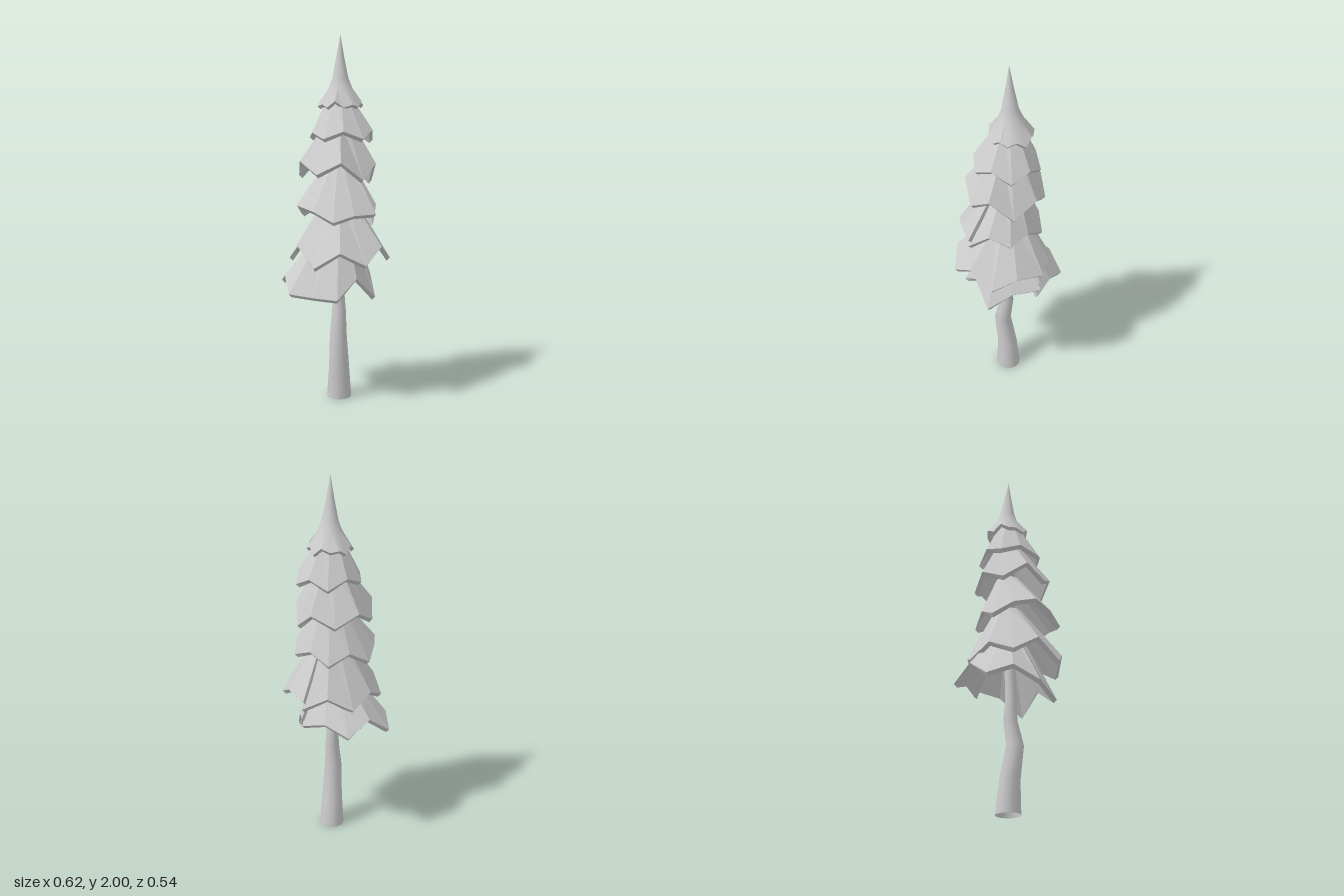
import * as THREE from 'three';
import { toCreasedNormals } from 'three/addons/utils/BufferGeometryUtils.js';

const CX = 0.035, CZ = -0.035; // stem axis

// Thick bent sheet: rows of points run from the top down to the rim,
// each row runs counter-clockwise round the axis (seen from above).
function sheet(rows, thick) {
  const inner = rows.map(row => row.map(([x, y, z]) => {
    const k = Math.max(0.05, 1 - thick / Math.hypot(x - CX, z - CZ));
    return [CX + (x - CX) * k, y - thick, CZ + (z - CZ) * k];
  })).reverse();
  const all = [...rows, ...inner];
  const n = rows[0].length, m = all.length, index = [];
  for (let i = 0; i < m - 1; i++) {
    for (let j = 0; j < n - 1; j++) {
      const a = i * n + j, b = a + n;
      index.push(a, b, b + 1, a, b + 1, a + 1);
    }
  }
  // close the two side edges of the sheet
  for (let i = 0; i < rows.length - 1; i++) {
    const o = i * n, p = o + n, q = (m - 1 - i) * n, s = q - n, e = n - 1;
    index.push(q, s, p, q, p, o);
    index.push(o + e, p + e, s + e, o + e, s + e, q + e);
  }
  const geo = new THREE.BufferGeometry();
  geo.setAttribute('position', new THREE.Float32BufferAttribute(all.flat(2), 3));
  geo.setIndex(index);
  geo.computeVertexNormals();
  return geo;
}

// Branch tiers: top height and radius, rim centre, radius at the tips and at
// the notches, angle of the first tip (from the front towards +x), whether the
// rim has an overlapping seam, and rim heights, tip and notch in turn
const tiers = [
  { top: 0.98, r: 0.08, x: -0.03, z: -0.03, tip: 0.275, notch: 0.24, start: 144, seam: true,
    rim: [0.69, 0.72, 0.665, 0.74, 0.645, 0.7, 0.625, 0.615, 0.61, 0.71, 0.59, 0.7] },
  { top: 1.13, r: 0.08, x: 0.045, z: 0, tip: 0.275, notch: 0.258, start: 163, seam: true,
    rim: [0.79, 0.86, 0.79, 0.86, 0.8, 0.885, 0.785, 0.87, 0.8, 0.885, 0.8, 0.86] },
  { top: 1.33, r: 0.07, x: 0.03, z: 0.02, tip: 0.235, notch: 0.215, start: 69, seam: true,
    rim: [1.01, 1.1, 1.05, 1.09, 1.03, 1.09, 1.03, 1.09, 1.105, 1.08, 1.03, 1.06] },
  { top: 1.54, r: 0.07, x: 0.025, z: -0.01, tip: 0.21, notch: 0.215, start: 343, seam: false,
    rim: [1.27, 1.335, 1.24, 1.32, 1.215, 1.3, 1.24, 1.31, 1.25, 1.335] },
  { top: 1.68, r: 0.06, x: 0.05, z: -0.025, tip: 0.18, notch: 0.17, start: 340, seam: false,
    rim: [1.455, 1.495, 1.455, 1.5, 1.44, 1.485, 1.435, 1.49, 1.455, 1.485] },
];

// Zigzag skirt; with a seam, the last corner laps over the first
function tierGeometry(t) {
  const n = t.rim.length, rim = [], top = [];
  for (let j = 0; j <= n; j++) {
    const lap = t.seam && j === n ? 1 : 0;
    const a = THREE.MathUtils.degToRad(t.start + j * 360 / n + lap * 3);
    const r = (j % 2 ? t.notch : t.tip) + 0.01 * lap;
    const x = t.x + r * Math.sin(a), z = t.z + r * Math.cos(a);
    const k = t.r / Math.hypot(x - CX, z - CZ);
    rim.push([x, t.rim[j % n] + 0.05 * lap, z]);
    top.push([CX + (x - CX) * k, t.top + 0.02 * lap, CZ + (z - CZ) * k]);
  }
  return sheet([top, rim], 0.018);
}

// Pointed crown: smooth spire flaring into a ragged hem with a split on the right
function crownGeometry() {
  const profile = [[2, 0.001], [1.88, 0.022], [1.77, 0.044], [1.72, 0.064], [1.63, 0.118]];
  const n = 16, start = Math.PI * 0.47;
  const rows = profile.map(([y, r], i) => {
    const hem = i === profile.length - 1 ? 1 : 0;
    return Array.from({ length: n + 1 }, (_, j) => {
      const a = start + j / n * Math.PI * 2.03;
      const rr = r + hem * 0.007 * Math.sin(j * 2.3) + (hem && j === n ? 0.004 : 0);
      const drop = hem * (0.012 * (j % 2 ? -1 : 1) + 0.009 * Math.sin(j * 1.7));
      return [CX + 0.003 + rr * Math.sin(a), y + drop,
        CZ - 0.01 * Math.min(1, i / 3) + rr * Math.cos(a)];
    });
  });
  return toCreasedNormals(sheet(rows, 0.014), 0.8);
}

// Crooked tapering trunk, open below: a tube whose rings are shifted and scaled
function trunkGeometry() {
  // height, centre x, centre z, radius
  const rings = [[0, 0.035, -0.033, 0.068], [0.18, 0.036, -0.025, 0.056], [0.36, 0.038, 0.003, 0.047],
    [0.5, 0.036, -0.022, 0.038], [0.62, 0.034, -0.018, 0.031], [1, 0.035, -0.035, 0.025]];
  const geo = new THREE.CylinderGeometry(1, 1, 1, 14, rings.length - 1, true);
  const p = geo.attributes.position;
  for (let i = 0; i < p.count; i++) {
    const [y, x, z, r] = rings[Math.round((p.getY(i) + 0.5) * (rings.length - 1))];
    p.setXYZ(i, x + p.getX(i) * r, y, z + p.getZ(i) * r);
  }
  return toCreasedNormals(geo, 0.9);
}

export function createModel() {
  const group = new THREE.Group();
  group.name = 'pineTree';
  const smooth = new THREE.MeshStandardMaterial({ color: 0xcccccc });
  const flat = new THREE.MeshStandardMaterial({ color: 0xcccccc, flatShading: true });
  const open = new THREE.MeshStandardMaterial({ color: 0xcccccc, side: THREE.DoubleSide });
  const add = (name, geo, mat) => {
    const mesh = new THREE.Mesh(geo, mat);
    mesh.name = name;
    group.add(mesh);
  };
  add('trunk', trunkGeometry(), open);
  tiers.forEach((t, i) => add(`branchTier${i + 1}`, tierGeometry(t), flat));
  add('crown', crownGeometry(), smooth);
  return group;
}
